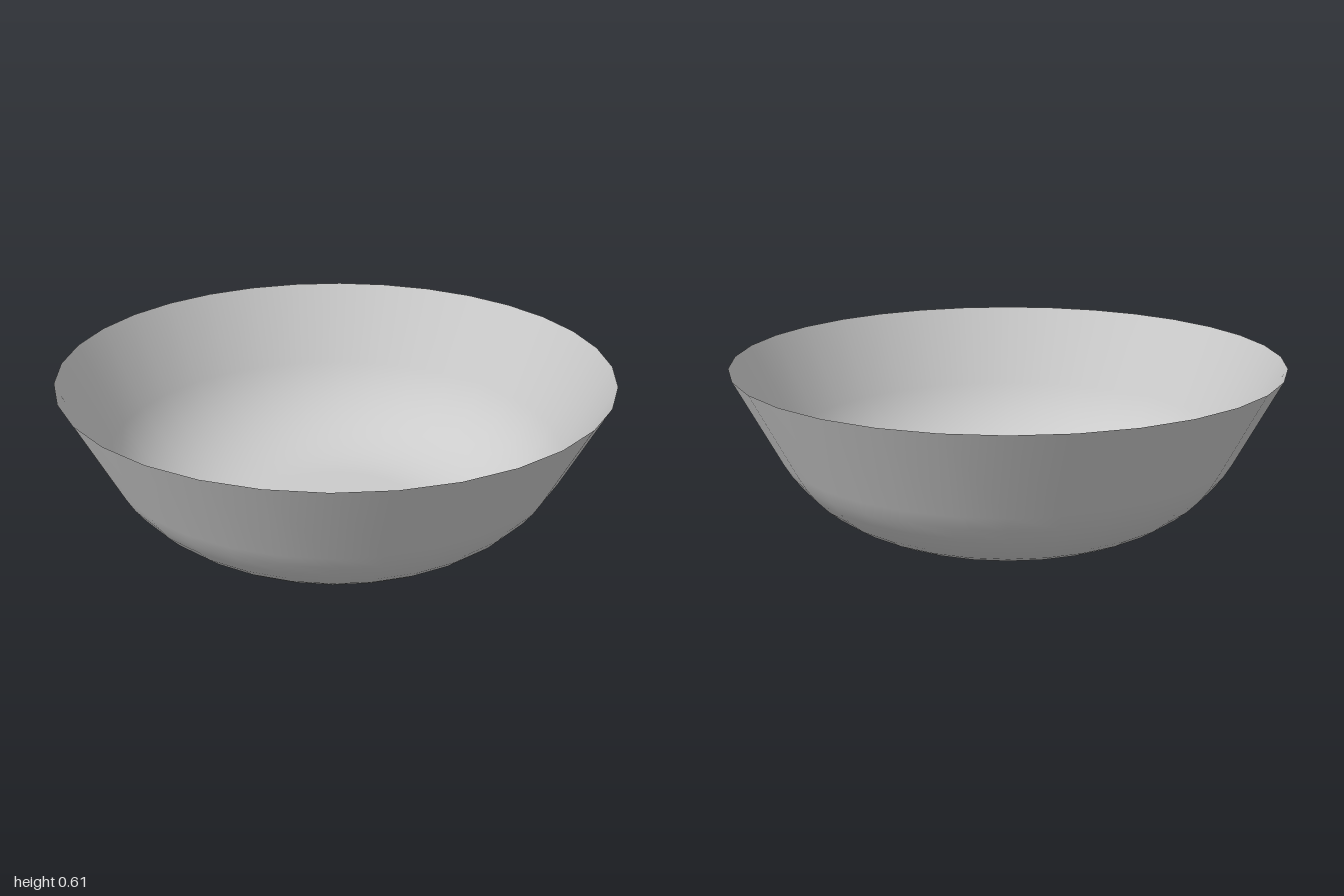
import * as THREE from 'three';

export function createModel() {
  const group = new THREE.Group();
  group.name = 'bowl';

  // Profile: flat base, rounded shoulder, straight flared wall
  const base = 0.36, radius = 0.54, height = 0.61, lean = Math.atan(2), steps = 10;
  const profile = [new THREE.Vector2(0, 0)];
  for (let i = 0; i <= steps; i++) {
    const a = (lean * i) / steps;
    profile.push(new THREE.Vector2(base + radius * Math.sin(a), radius * (1 - Math.cos(a))));
  }
  profile.push(new THREE.Vector2(1, height));

  // Thin open shell, seen from inside and outside
  const shell = new THREE.Mesh(
    new THREE.LatheGeometry(profile, 32),
    new THREE.MeshStandardMaterial({ color: 0xcccccc, side: THREE.DoubleSide })
  );
  shell.name = 'bowlShell';
  group.add(shell);
  return group;
}
